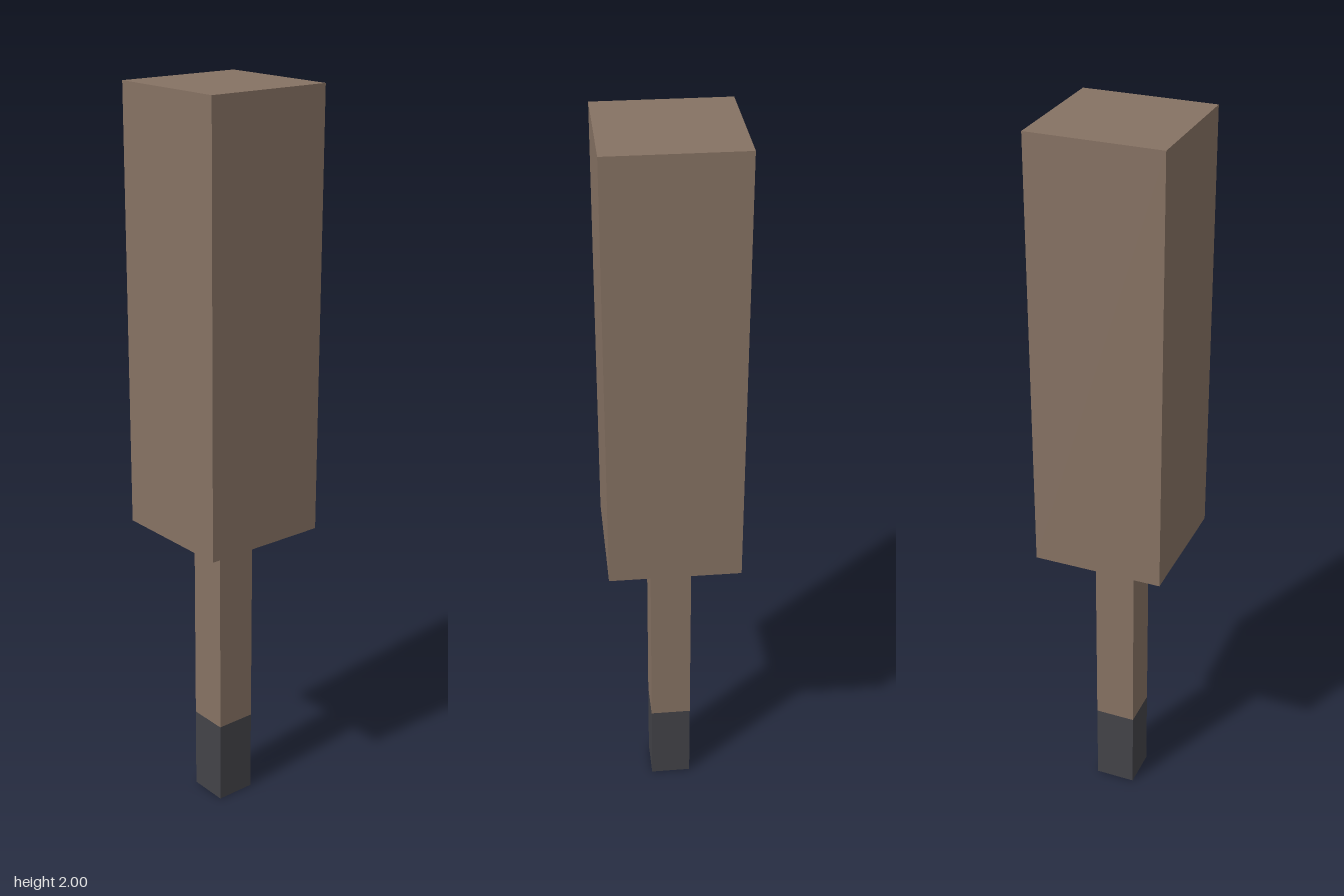
import * as THREE from 'three';

export function createModel() {
  const group = new THREE.Group();
  const wood = new THREE.MeshStandardMaterial({ name: 'brown wood', color: 0x867263 });
  const dark = new THREE.MeshStandardMaterial({ name: 'dark grey', color: 0x434348 });

  // Square bar of the given width between two heights
  function bar(name, width, bottom, top, material) {
    const mesh = new THREE.Mesh(new THREE.BoxGeometry(width, top - bottom, width), material);
    mesh.name = name;
    mesh.position.y = (bottom + top) / 2;
    group.add(mesh);
  }

  const tipTop = 0.235, blockBottom = 0.824;
  bar('tip', 0.112, 0, tipTop, dark);
  bar('stem', 0.112, tipTop, blockBottom, wood);
  bar('block', 0.353, blockBottom, 2, wood);

  return group;
}
